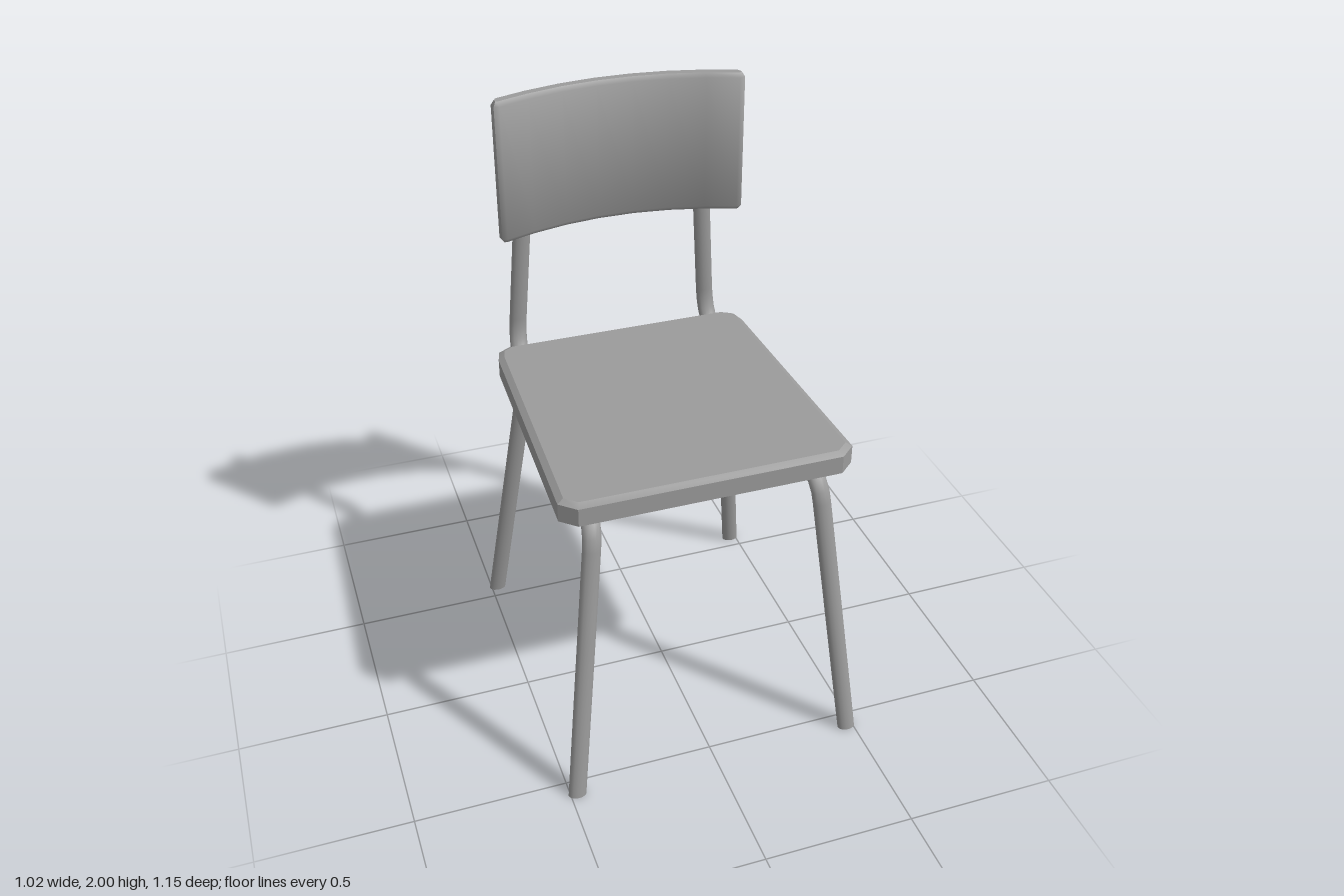
import * as THREE from 'three';
import { mergeGeometries, toCreasedNormals } from 'three/addons/utils/BufferGeometryUtils.js';

const material = new THREE.MeshStandardMaterial({ color: 0x9b9b9b });
const TUBE_RADIUS = 0.0215;
const STRETCH = 1.4; // tubes are oval: wider in x
const SIDES = 14;
const STEPS = 72;

// Polyline of [x, y, z, filletLength] with rounded corners
function roundedPath(points) {
  const v = points.map(([x, y, z]) => new THREE.Vector3(x / STRETCH, y, z));
  const path = new THREE.CurvePath();
  let from = v[0];
  for (let i = 1; i < v.length - 1; i++) {
    const r = points[i][3];
    const a = v[i].clone().add(v[i - 1].clone().sub(v[i]).setLength(r));
    const b = v[i].clone().add(v[i + 1].clone().sub(v[i]).setLength(r));
    path.add(new THREE.LineCurve3(from, a));
    path.add(new THREE.QuadraticBezierCurve3(a, v[i], b));
    from = b;
  }
  path.add(new THREE.LineCurve3(from, v[v.length - 1]));
  return path;
}

// Flat fan closing one end ring of a tube
function endCap(tube, ring, flip) {
  const p = tube.attributes.position;
  const at = (j) => new THREE.Vector3().fromBufferAttribute(p, ring * (SIDES + 1) + j);
  const corners = [];
  for (let j = 1; j < SIDES - 1; j++) {
    corners.push(at(0), ...(flip ? [at(j + 1), at(j)] : [at(j), at(j + 1)]));
  }
  const cap = new THREE.BufferGeometry().setFromPoints(corners);
  cap.computeVertexNormals();
  return cap;
}

// Capped oval tube whose foot is cut level with the floor
function bentTube(points) {
  const tube = new THREE.TubeGeometry(roundedPath(points), STEPS, TUBE_RADIUS, SIDES, false);
  const p = tube.attributes.position;
  for (let j = 0; j <= SIDES; j++) p.setY(j, 0);
  tube.deleteAttribute('uv');
  // Compare the fan's facing with the path direction to orient both caps outward
  const caps = [[0, 1], [STEPS, STEPS - 1]].map(([ring, inner]) => {
    const cap = endCap(tube, ring, false);
    const n = new THREE.Vector3().fromBufferAttribute(cap.attributes.normal, 0);
    const out = new THREE.Vector3().fromBufferAttribute(p, ring * (SIDES + 1))
      .sub(new THREE.Vector3().fromBufferAttribute(p, inner * (SIDES + 1)));
    return n.dot(out) < 0 ? endCap(tube, ring, true) : cap;
  });
  return mergeGeometries([tube.toNonIndexed(), ...caps]).scale(STRETCH, 1, 1);
}

// Bevelled slab from a plan outline of [x, z] points, between two heights
function slab(outline, bottom, top, bevel, bevelHeight, crease) {
  const shape = new THREE.Shape(outline.map(([x, z]) => new THREE.Vector2(x, -z)));
  const geometry = new THREE.ExtrudeGeometry(shape, {
    depth: top - bottom - 2 * bevelHeight,
    bevelEnabled: true,
    bevelSegments: 1,
    bevelSize: bevel,
    bevelOffset: -bevel,
    bevelThickness: bevelHeight,
  });
  geometry.rotateX(-Math.PI / 2).translate(0, bottom + bevelHeight, 0);
  return toCreasedNormals(geometry, crease);
}

const mirrored = (half) => [...half, ...half.map(([x, z]) => [-x, z]).reverse()];

function addMesh(group, name, geometry) {
  const mesh = new THREE.Mesh(geometry, material);
  mesh.name = name;
  group.add(mesh);
}

export function createModel() {
  const chair = new THREE.Group();
  chair.name = 'chair';

  // Seat, slightly narrower at the back, with cut corners
  addMesh(chair, 'seat', slab(mirrored([
    [0.42, 0.487], [0.47, 0.442], [0.44, -0.41], [0.427, -0.46], [0.385, -0.485],
  ]), 1.01, 1.095, 0.02, 0.012, 0.4));

  // Backrest, a curved board whose faces shade softly into their bevels
  const stations = [-0.39, -0.29, -0.175, -0.06, 0.06, 0.175, 0.29, 0.39];
  const bow = (x) => -0.45 + 0.52 * x * x;
  const front = stations.map((x) => [x, bow(x)]);
  const back = stations.map((x) => [x * 1.03, bow(x) - 0.046]).reverse();
  addMesh(chair, 'backrest', slab(
    [...front, [0.408, -0.374], [0.412, -0.395], ...back, [-0.412, -0.395], [-0.408, -0.374]],
    1.53, 2.0, 0.01, 0.014, 0.8));

  for (const [side, s] of [['left', 1], ['right', -1]]) {
    // Front leg, side rail and back upright in one bent tube
    addMesh(chair, side + 'SideFrame', bentTube([
      [s * 0.477, 0, 0.555],
      [s * 0.365, 0.985, 0.443, 0.075],
      [s * 0.352, 0.983, -0.33, 0.08],
      [s * 0.348, 1.04, -0.535, 0.13],
      [s * 0.308, 1.6, -0.495, 0.08],
      [s * 0.293, 1.96, -0.494],
    ]));
    // Rear leg bending into half of the rear crossbar
    addMesh(chair, side + 'RearLeg', bentTube([
      [s * 0.478, 0, -0.553],
      [s * 0.363, 0.983, -0.38, 0.085],
      [s * 0.004, 0.983, -0.38],
    ]));
  }
  return chair;
}
